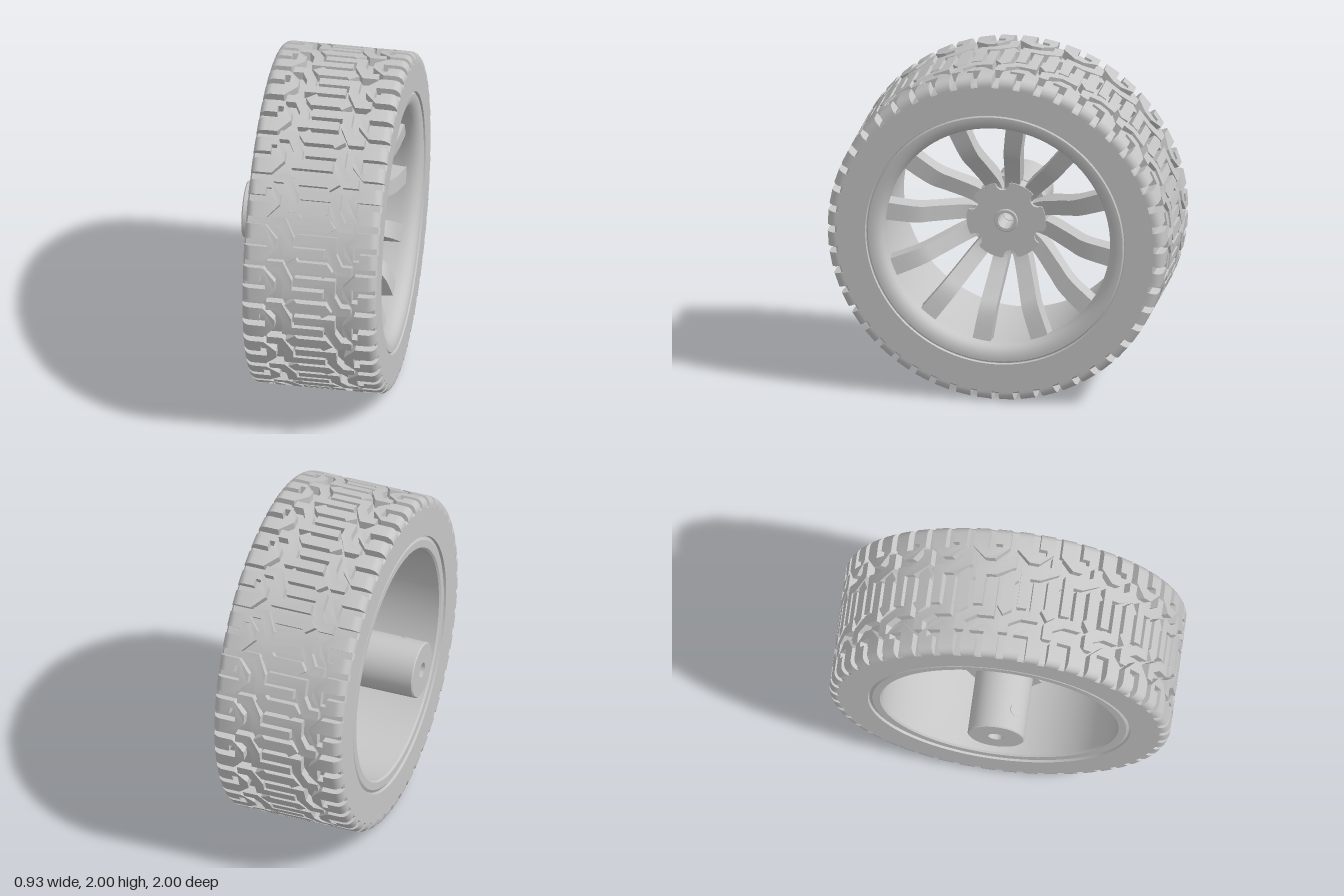
import * as THREE from 'three';
import { mergeGeometries, toCreasedNormals } from 'three/addons/utils/BufferGeometryUtils.js';

const MID = 0.07;       // middle of the tyre along the axle
const HALF = 0.395;     // half the tyre width
const FLOOR = 0.95;     // radius of the tread grooves
const CELLS = 24;
const PITCH = (Math.PI * 2) / CELLS;

export function createModel() {
  const model = new THREE.Group();
  model.name = 'wheel';
  const wheel = new THREE.Group();
  wheel.name = 'wheelAssembly';
  wheel.position.y = 1;
  model.add(wheel);
  const grey = new THREE.MeshStandardMaterial({ color: 0xc6c6c6 });
  grey.name = 'grey';

  const add = (name, geo) => {
    const mesh = new THREE.Mesh(geo, grey);
    mesh.name = name;
    wheel.add(mesh);
    return mesh;
  };

  // Closed [radius, x] profile turned around the axle
  const turned = (pts, segments = 96) => {
    const ring = [...pts, pts[0]].map(([r, x]) => new THREE.Vector2(r, x));
    return toCreasedNormals(new THREE.LatheGeometry(ring, segments).rotateZ(-Math.PI / 2), 0.5);
  };

  // Shape in the wheel plane, extruded along the axle from x0 to x1
  const plate = (shape, x0, x1) => {
    const g = new THREE.ExtrudeGeometry(shape, { depth: x1 - x0, bevelEnabled: false, curveSegments: 24 });
    return toCreasedNormals(g.rotateY(Math.PI / 2).translate(x0, 0, 0), 0.5);
  };
  const bore = (shape, r) => {
    shape.holes.push(new THREE.Path().absarc(0, 0, r, 0, Math.PI * 2, true));
    return shape;
  };
  const vec = ([x, y]) => new THREE.Vector2(x, y);

  // Tyre carcass with flat sidewalls
  add('tyre', turned([
    [0.77, MID - HALF], [0.94, MID - HALF], [FLOOR, MID - HALF + 0.01],
    [FLOOR, MID + HALF - 0.01], [0.94, MID + HALF], [0.77, MID + HALF],
    [0.766, 0.45], [0.75, 0.45], [0.75, -0.31], [0.766, -0.31],
  ]));

  // Tread: blocks in (u along axle, v around, h out), bent around the carcass
  const bend = (geo, turn) => {
    const p = geo.attributes.position;
    for (let i = 0; i < p.count; i++) {
      const a = p.getY(i) + turn, r = 0.94 + p.getZ(i);
      p.setXYZ(i, p.getX(i) + MID, r * Math.sin(a), r * Math.cos(a));
    }
    geo.computeVertexNormals();
    return geo;
  };

  // Outline of a strip of constant width along a path
  const strip = (path, w) => {
    const pts = path.map(vec);
    const left = [], right = [];
    pts.forEach((p, i) => {
      const a = p.clone().sub(pts[Math.max(0, i - 1)]).normalize();
      const b = pts[Math.min(pts.length - 1, i + 1)].clone().sub(p).normalize();
      const t = a.clone().add(b).normalize();
      const n = new THREE.Vector2(-t.y, t.x);
      const m = w / 2 / Math.max(0.5, t.dot(a.lengthSq() ? a : b));
      left.push(p.clone().addScaledVector(n, m));
      right.unshift(p.clone().addScaledVector(n, -m));
    });
    return [...right, ...left];
  };

  // Pointed lug with a hooked slot, and an angled bar reaching between two lugs
  const lug = [
    [-0.345, -0.109], [-0.27, -0.109], [-0.2, -0.03], [-0.2, 0.03], [-0.27, 0.109], [-0.345, 0.109],
    [-0.345, 0.021], [-0.29, 0.021], [-0.29, 0.065], [-0.255, 0.065], [-0.255, -0.021], [-0.345, -0.021],
  ].map(vec);
  const bar = strip([[-0.25, 0.131], [-0.175, 0.131], [-0.128, 0.04], [-0.128, -0.04], [0.085, -0.04]], 0.056);
  const half = [lug, bar];
  const outlines = [
    ...half,
    ...half.map((o) => o.map((p) => new THREE.Vector2(-p.x, -p.y))),
    strip([[-0.11, 0.165], [-0.085, 0.131], [0.085, 0.131], [0.11, 0.097]], 0.07),
  ];

  // Rounded shoulder teeth: cross-section in (u, h), swept around by the tooth width
  const tooth = [[-HALF, 0]];
  for (let k = 0; k <= 6; k++) {
    const t = (k / 6) * Math.PI / 2;
    tooth.push([-0.345 - 0.05 * Math.cos(t), 0.01 + 0.05 * Math.sin(t)]);
  }
  tooth.push([-0.345, 0]);

  const blocks = [];
  for (let i = 0; i < CELLS; i++) {
    const turn = (i + 0.5) * PITCH;
    for (const o of outlines) {
      const g = new THREE.ExtrudeGeometry(new THREE.Shape(o), { depth: 0.06, bevelEnabled: false });
      blocks.push(bend(g, turn));
    }
    for (const top of [0.109, -0.021]) {
      for (const flip of [0, Math.PI]) {
        const g = new THREE.ExtrudeGeometry(new THREE.Shape(tooth.map(vec)), { depth: 0.088, bevelEnabled: false });
        g.rotateX(Math.PI / 2).translate(0, top, 0).rotateZ(flip);
        blocks.push(bend(g, turn));
      }
    }
  }
  add('tread', toCreasedNormals(mergeGeometries(blocks), 0.4));

  // Rim barrel with a rounded outer lip
  add('rim', turned([
    [0.69, -0.31], [0.7, -0.32], [0.745, -0.32], [0.76, -0.31], [0.762, 0.45], [0.755, 0.458], [0.735, 0.458],
    [0.705, 0.45], [0.685, 0.435], [0.672, 0.415], [0.667, 0.39], [0.667, 0.35], [0.685, 0.25],
  ]));

  // Twelve dished spokes, S-curved from the recessed hub out to the lip
  const curve = (pts) => new THREE.SplineCurve(pts.map(vec)).getPoints(14);
  const front = curve([[0.15, 0.1], [0.24, 0.12], [0.4, 0.25], [0.5, 0.33], [0.69, 0.375]]);
  const back = curve([[0.69, 0.26], [0.53, 0.23], [0.43, 0.16], [0.27, 0.02], [0.15, 0.01]]);
  const spokeShape = new THREE.Shape([...front, ...back]);
  for (let i = 0; i < 12; i++) {
    const g = new THREE.ExtrudeGeometry(spokeShape, { depth: 1, bevelEnabled: false });
    const p = g.attributes.position;
    for (let k = 0; k < p.count; k++) {
      p.setZ(k, (p.getZ(k) - 0.5) * (0.08 + 0.04 * p.getX(k)));
    }
    const a = THREE.MathUtils.degToRad(81.5 + i * 30);
    const c = Math.cos(a), s = Math.sin(a);
    g.applyMatrix4(new THREE.Matrix4().makeBasis(
      new THREE.Vector3(0, s, -c), new THREE.Vector3(1, 0, 0), new THREE.Vector3(0, -c, -s)));
    add('spoke', toCreasedNormals(g, 0.5));
  }

  // Hub plate with six scallops between the spokes
  const hubPts = [];
  for (let i = 0; i < 6; i++) {
    const mid = THREE.MathUtils.degToRad(36 + i * 60);
    for (let k = 0; k <= 8; k++) {
      const t = Math.PI * (0.5 + k / 8);
      const r = 0.225 + 0.04 * Math.cos(t), w = -0.04 * Math.sin(t);
      hubPts.push(new THREE.Vector2(r * Math.cos(mid) - w * Math.sin(mid), r * Math.sin(mid) + w * Math.cos(mid)));
    }
    for (let k = 0; k <= 4; k++) {
      const t = mid + THREE.MathUtils.degToRad(14 + k * 8);
      hubPts.push(new THREE.Vector2(0.235 * Math.cos(t), 0.235 * Math.sin(t)));
    }
  }
  add('hub', plate(bore(new THREE.Shape(hubPts), 0.055), 0.0, 0.125));
  add('hubCollar', turned([[0.048, 0.0], [0.07, 0.0], [0.07, 0.13], [0.065, 0.135], [0.048, 0.135]], 40));

  // Hexagonal drive, flange and axle sleeve on the inner side
  const hex = [];
  for (let i = 0; i < 6; i++) {
    const a = (i * Math.PI) / 3 + THREE.MathUtils.degToRad(6);
    hex.push(new THREE.Vector2(0.22 * Math.cos(a), 0.22 * Math.sin(a)));
  }
  add('flange', turned([[0.048, -0.03], [0.24, -0.03], [0.24, 0.03], [0.048, 0.03]], 48));
  add('hexDrive', plate(bore(new THREE.Shape(hex), 0.05), -0.09, -0.02));
  add('axleSleeve', turned([
    [0.045, -0.465], [0.16, -0.465], [0.167, -0.458], [0.167, 0.0], [0.045, 0.0],
  ], 48));

  // Clamping screw set in the sleeve
  const screw = add('clampScrew', new THREE.CylinderGeometry(0.035, 0.035, 0.05, 20));
  const tilt = THREE.MathUtils.degToRad(36);
  screw.rotation.x = tilt;
  screw.position.set(-0.335, 0.143 * Math.cos(tilt), 0.143 * Math.sin(tilt));

  return model;
}
